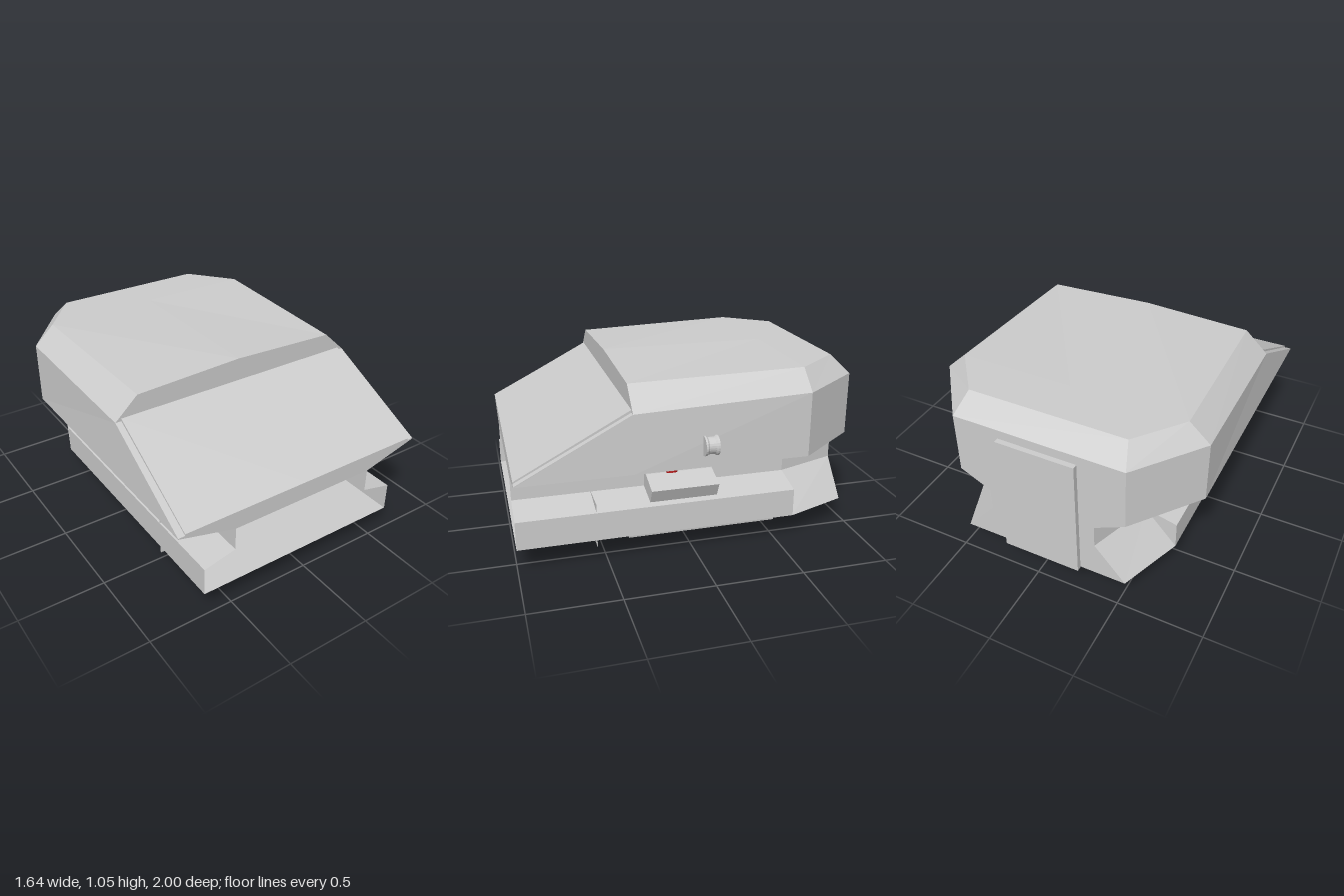
import * as THREE from 'three';

const grey = new THREE.MeshStandardMaterial({ color: 0xcccccc, flatShading: true });
const sheet = new THREE.MeshStandardMaterial({ color: 0xcccccc, flatShading: true, side: THREE.DoubleSide });
const red = new THREE.MeshStandardMaterial({ color: 0xaa1111 });

// Flat-faced geometry from a list of four-cornered faces
function fromQuads(quads) {
  const pos = [];
  const tri = (a, b, c) => {
    const t = new THREE.Triangle(...[a, b, c].map((p) => new THREE.Vector3(...p)));
    if (t.getArea() > 1e-8) pos.push(...a, ...b, ...c);
  };
  for (const [a, b, c, d] of quads) {
    tri(a, b, c);
    tri(a, c, d);
  }
  const g = new THREE.BufferGeometry();
  g.setAttribute('position', new THREE.Float32BufferAttribute(pos, 3));
  g.computeVertexNormals();
  return g;
}

// Symmetric loft. Each section lists [x, y, z?] up one side, ending at x = 0; sections run front to back.
function loft(sections, capFront = true, capBack = true) {
  const rings = sections.map(({ z, pts }) => {
    const side = pts.map(([x, y, pz]) => [x, y, pz ?? z]);
    return [...side, ...side.slice(0, -1).reverse().map(([x, y, pz]) => [-x, y, pz])];
  });
  const n = rings[0].length, quads = [];
  for (let s = 0; s + 1 < rings.length; s++) {
    for (let i = 0; i < n; i++) {
      const j = (i + 1) % n, a = rings[s], b = rings[s + 1];
      quads.push([a[i], b[i], b[j], a[j]]);
    }
  }
  for (let k = 0; k < (n - 1) / 2; k++) {
    const cap = (r) => [r[n - 1 - k], r[k], r[k + 1], r[n - 2 - k]];
    if (capFront) quads.push(cap(rings[0]));
    if (capBack) quads.push(cap(rings[rings.length - 1]).reverse());
  }
  return fromQuads(quads);
}

export function createModel() {
  const group = new THREE.Group();
  const body = new THREE.Group();
  body.name = 'body';
  body.position.x = -0.03;
  group.add(body);

  function add(name, geometry, material = grey, parent = body) {
    const m = new THREE.Mesh(geometry, material);
    m.name = name;
    parent.add(m);
    return m;
  }

  // Cabin: wedge nose, vertical brow, bevelled roof and chamfered rear corners
  const keel = [[0.45, 0.49], [0.79, 0.58]];
  add('cabin', loft([
    { z: 1, pts: [...keel, [0.79, 0.585], [0.75, 0.585], [0, 0.585]] },
    { z: 0.38, pts: [...keel, [0.775, 0.905], [0.75, 0.905], [0, 0.905]] },
    { z: 0.38, pts: [...keel, [0.775, 0.905], [0.64, 1.03], [0, 1.055]] },
    { z: -0.6, pts: [...keel, [0.79, 0.945], [0.67, 1.055], [0, 1.055]] },
    { z: -0.97, pts: [[0.32, 0.49], [0.5, 0.58], [0.5, 0.945], [0.46, 1.055, -0.86], [0, 1.055, -0.86]] },
  ]));

  // Windscreen panel raised slightly from the nose
  add('windscreen', loft([
    { z: 1, pts: [[0.75, 0.58], [0.75, 0.595], [0, 0.595]] },
    { z: 0.38, pts: [[0.74, 0.9], [0.74, 0.92], [0, 0.92]] },
  ]));

  // Lower hull: side rails and neck, open at the front
  const rail = [[0.64, 0.145], [0.64, 0.31], [0.45, 0.355], [0.45, 0.49], [0, 0.49]];
  add('lowerHull', loft([{ z: 1, pts: rail }, { z: -0.6, pts: rail }], false, true), sheet);

  // Tapered, waisted hull at the rear
  add('rearHull', loft([
    { z: -0.6, pts: [[0.64, 0.145], [0.45, 0.355], [0.45, 0.49], [0, 0.49]] },
    { z: -0.97, pts: [[0.5, 0.145], [0.32, 0.355], [0.32, 0.49], [0, 0.49]] },
  ]));

  // Bulkhead with a recessed centre, and the sloping ceiling ahead of it
  const plan = [[-0.64, 0.56], [-0.205, 0.56], [-0.14, 0.38], [0.14, 0.38], [0.205, 0.56], [0.64, 0.56]];
  add('bulkhead', fromQuads(plan.slice(1).map(([x, z], i) => {
    const [px, pz] = plan[i];
    return [[px, 0.1, pz], [x, 0.1, z], [x, 0.36, z], [px, 0.36, pz]];
  })), sheet);
  add('frontCeiling', fromQuads([
    [[-0.64, 0.36, 0.56], [0.64, 0.36, 0.56], [0.45, 0.475, 1], [-0.45, 0.475, 1]],
  ]));

  // Rear door
  const door = add('rearDoor', new THREE.BoxGeometry(0.46, 0.75, 0.04));
  door.position.set(0, 0.515, -0.98);

  for (const s of [-1, 1]) {
    // Side lockers above the rails
    const profile = [[0.44, 0.315], [0.6, 0.315], [0.64, 0.4], [0.5, 0.445], [0.44, 0.445]];
    const shape = new THREE.Shape(profile.map(([x, y]) => new THREE.Vector2(s * x, y)));
    const locker = add('sideLocker', new THREE.ExtrudeGeometry(shape, { depth: 0.39, bevelEnabled: false }));
    locker.position.z = -0.14;

    // Tapered skids underneath, with small vents at the rear end
    const skid = new THREE.Group();
    skid.name = 'skid';
    skid.position.x = s * 0.293;
    body.add(skid);
    add('skidBlock', loft([
      { z: 0.33, pts: [[0.102, 0, 0.33], [0.124, 0.145, 0.355], [0, 0.145, 0.355]] },
      { z: -0.585, pts: [[0.102, 0, -0.585], [0.124, 0.145, -0.6], [0, 0.145, -0.6]] },
    ]), grey, skid);
    for (let i = 0; i < 4; i++) {
      const vent = add('skidVent', new THREE.CylinderGeometry(0.01, 0.01, 0.012, 10), grey, skid);
      vent.rotation.x = Math.PI / 2;
      vent.position.set(-0.06 + i * 0.04, 0.025, -0.587);
    }
  }

  // Spool-shaped knob on the left wall
  const spool = [[0, -0.038], [0.055, -0.038], [0.055, -0.028], [0.047, -0.018],
    [0.047, 0.018], [0.055, 0.028], [0.055, 0.038], [0, 0.038]];
  const knob = add('sideKnob',
    new THREE.LatheGeometry(spool.map(([r, y]) => new THREE.Vector2(r, y)), 24), grey);
  knob.rotation.x = Math.PI / 2;
  knob.position.set(0.795, 0.705, -0.03);

  // Fittings on the sloping left underside
  const under = new THREE.Group();
  under.name = 'undersideFittings';
  under.position.set(0.45, 0.49, 0);
  under.rotation.z = Math.atan2(0.09, 0.34);
  body.add(under);
  for (const [z, length] of [[0.55, 0.21], [0.23, 0.28]]) {
    const frame = new THREE.Shape([[-0.04, -length / 2], [0.04, -length / 2], [0.04, length / 2],
      [-0.04, length / 2]].map(([x, y]) => new THREE.Vector2(x, y)));
    const a = 0.028, b = length / 2 - 0.012;
    frame.holes.push(new THREE.Path([[-a, -b], [-a, b], [a, b], [a, -b]]
      .map(([x, y]) => new THREE.Vector2(x, y))));
    const slot = add('slotFrame', new THREE.ExtrudeGeometry(frame, { depth: 0.014, bevelEnabled: false }), grey, under);
    slot.rotation.x = Math.PI / 2;
    slot.position.set(0.125, 0.002, z);
  }
  const button = add('redButton', new THREE.CylinderGeometry(0.03, 0.03, 0.016, 20), red, under);
  button.position.set(0.31, -0.004, 0.17);
  const ring = add('smallRing', new THREE.TorusGeometry(0.022, 0.006, 8, 20), grey, under);
  ring.rotation.x = Math.PI / 2;
  ring.position.set(0.12, -0.003, -0.12);

  return group;
}
